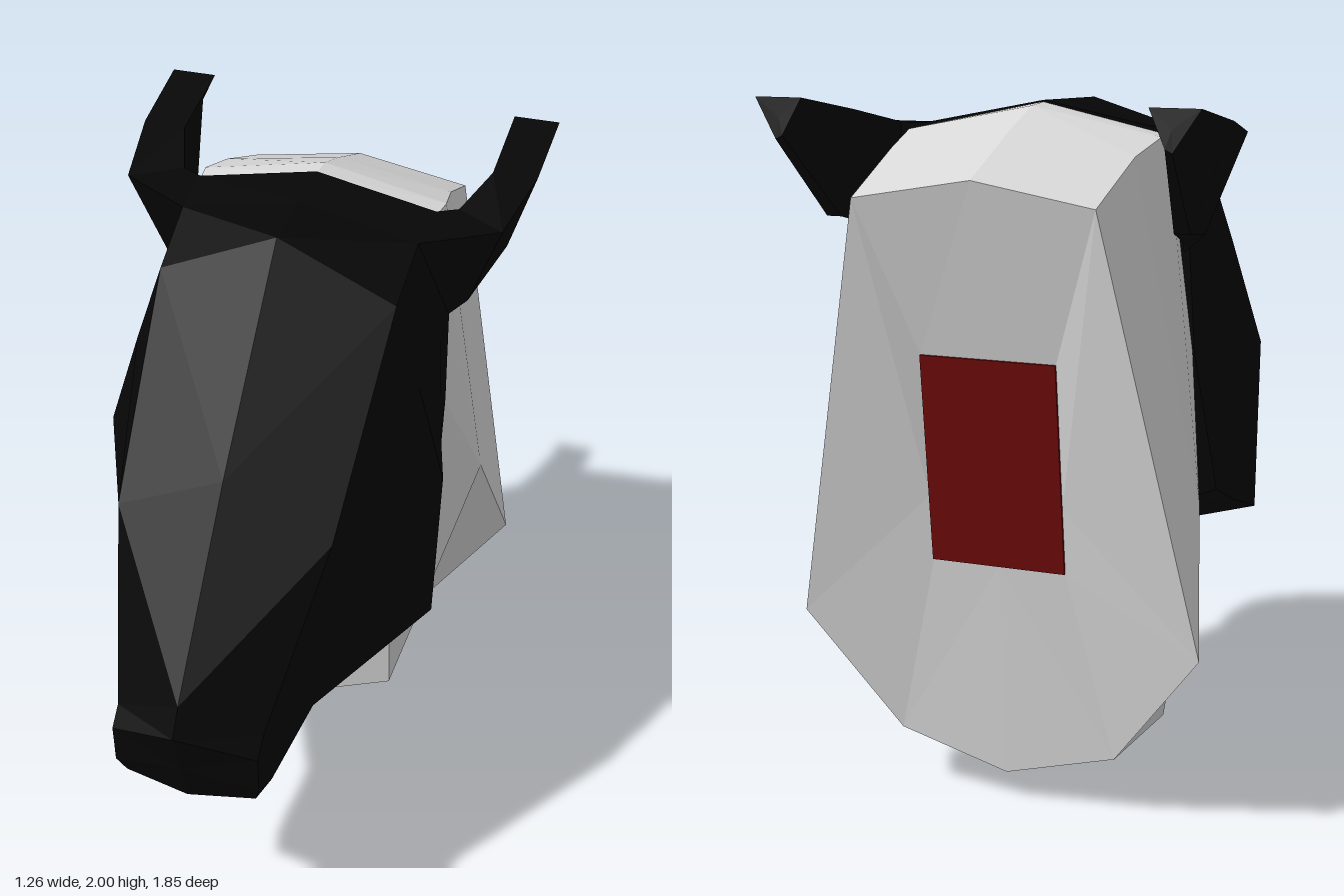
import * as THREE from 'three';

const mat = (name, color) => {
  const m = new THREE.MeshStandardMaterial({ color, flatShading: true });
  m.name = name;
  return m;
};

// Completes a half section (top or bottom centre at both ends) across x = 0
const mirrorRing = (half) =>
  [...half, ...half.slice(1, -1).reverse().map(([x, y, z]) => [-x, y, z])];

// Joins cross-sections into a closed, outward-facing solid; caps are fans around a centre
function loft(rings, capCentres = []) {
  const tris = [];
  const add = (...t) => {
    const [a, b, c] = t.map((p) => new THREE.Vector3(...p));
    if (new THREE.Triangle(a, b, c).getArea() > 1e-6) tris.push([a, b, c]);
  };
  const n = rings[0].length;
  for (let i = 0; i < rings.length - 1; i++) {
    for (let j = 0; j < n; j++) {
      const k = (j + 1) % n;
      const a = rings[i][j], b = rings[i][k], c = rings[i + 1][k], d = rings[i + 1][j];
      // Diagonals are mirrored on the second half of the ring
      if (j < n / 2) {
        add(a, b, c);
        add(a, c, d);
      } else {
        add(a, b, d);
        add(b, c, d);
      }
    }
  }
  const average = (r) => [0, 1, 2].map((k) => r.reduce((s, p) => s + p[k], 0) / n);
  const first = rings[0], last = rings[rings.length - 1];
  const c0 = capCentres[0] ?? average(first), c1 = capCentres[1] ?? average(last);
  for (let j = 0; j < n; j++) {
    const k = (j + 1) % n;
    add(c0, first[k], first[j]);
    add(c1, last[j], last[k]);
  }
  // Flip the winding if the signed volume is negative
  const volume = tris.reduce((s, [a, b, c]) => s + a.dot(b.clone().cross(c)), 0);
  const points = tris.flatMap(([a, b, c]) => (volume < 0 ? [a, c, b] : [a, b, c]));
  const geo = new THREE.BufferGeometry().setFromPoints(points);
  geo.computeVertexNormals();
  return geo;
}

export function createModel() {
  const group = new THREE.Group();
  const black = mat('black face', 0x060606);
  const wool = mat('pale grey neck', 0xd8d8d8);
  const red = mat('dark red patch', 0x700a0a);

  const addMesh = (name, geo, material) => {
    const mesh = new THREE.Mesh(geo, material);
    mesh.name = name;
    group.add(mesh);
    return mesh;
  };

  // Head: sections from muzzle to nape, each from top centre down to bottom centre
  const head = [
    [[0, .88, .92], [.22, .78, .83], [.22, .72, .825], [.22, .65, .82], [.2, .585, .79], [0, .57, .82]],
    [[0, .96, .87], [.22, .83, .78], [.22, .77, .77], [.22, .68, .76], [.22, .585, .7], [0, .5, .6]],
    [[0, 1.45, .46], [.32, 1.3, .46], [.32, 1.15, .46], [.315, .95, .47], [.275, .69, .47], [0, .59, .5]],
    [[0, 1.96, -.03], [.355, 1.8, -.03], [.435, 1.55, -.02], [.525, 1.25, -.01], [.515, .74, -.01], [0, .6, -.03]],
    [[0, 1.968, -.24], [.36, 1.89, -.24], [.44, 1.57, -.25], [.465, 1.27, -.22], [.485, .79, -.13], [0, .64, -.13]],
    [[0, 1.975, -.42], [.38, 1.9, -.42], [.43, 1.57, -.4], [.44, 1.28, -.38], [.46, .84, -.22], [0, .67, -.21]],
  ];
  addMesh('head', loft(head.map(mirrorRing), [[0, .72, .87]]), black);

  // Neck: sections from the dished back to the throat, from bottom centre up to top centre;
  // repeated points taper a strip of faces to a corner
  const dish = (x, y) => [x, y, -.787 - .098 * (y - 1.01)];
  const keel = [0, 0, -.29], chest = [.325, .14, -.29], shoulder = [.53, .9, -.59];
  const base = [.33, .17, -.72];
  const neck = [
    [dish(0, .71), dish(.2, .71), dish(.2, .71), dish(.2, .9), dish(.2, 1.31), dish(0, 1.31)],
    [[0, .08, -.72], base, base, [.6, .52, -.79], [.35, 1.74, -.91], [0, 1.8, -.91]],
    [keel, chest, chest, shoulder, [.36, 1.85, -.65], [0, 1.91, -.65]],
    [keel, chest, chest, shoulder, [.38, 1.89, -.5], [0, 1.965, -.5]],
    [[0, .42, -.21], [.325, .6, -.23], [.34, .85, -.225], [.435, 1.28, -.38], [.37, 1.89, -.42], [0, 1.97, -.42]],
  ];
  addMesh('neck', loft(neck.map(mirrorRing), [dish(0, 1.01), [0, 1.1, -.36]]), wool);

  // Ears: bent, backward-pointing tubes of four sides
  const ear = [
    [[.36, 1.89, -.24], [.36, 1.9, -.42], [.42, 1.57, -.42], [.43, 1.58, -.39]],
    [[.58, 1.9, -.36], [.43, 1.905, -.45], [.45, 1.585, -.46], [.48, 1.62, -.42]],
    [[.625, 1.95, -.63], [.49, 1.95, -.62], [.49, 1.66, -.71], [.535, 1.66, -.71]],
    [[.63, 2, -.91], [.49, 2, -.91], [.54, 1.9, -.93], [.56, 1.89, -.93]],
  ];
  for (const [name, s] of [['leftEar', 1], ['rightEar', -1]]) {
    addMesh(name, loft(ear.map((r) => r.map(([x, y, z]) => [x * s, y, z]))), black);
  }

  // Patch lying in the dished back of the neck
  const patch = addMesh('backPatch', new THREE.BoxGeometry(.4, .6, .009), red);
  patch.position.set(0, 1.01, -.79);
  patch.rotation.x = -Math.atan(.098);

  return group;
}
